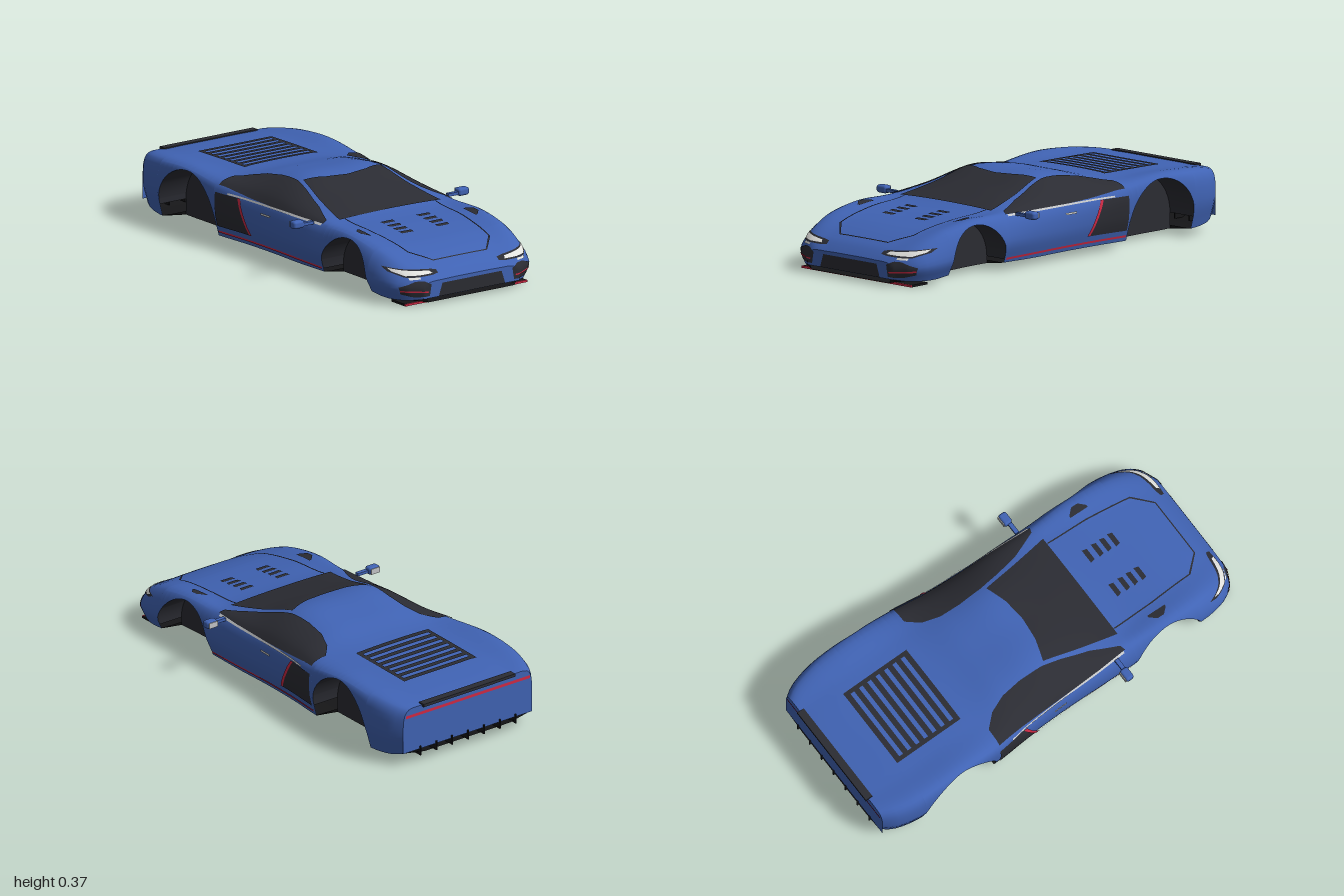
import * as THREE from 'three';
import { RoundedBoxGeometry } from 'three/addons/geometries/RoundedBoxGeometry.js';

const mat = (name, color) => new THREE.MeshStandardMaterial({ name, color, side: THREE.DoubleSide });

// Body stations: z, centre y, roof x/y, shoulder x/y, widest x/y, lower edge y
const STATIONS = [
  [1.0, .108, .14, .107, .24, .1, .268, .075, .03],
  [.975, .137, .16, .135, .275, .128, .325, .085, .026],
  [.93, .163, .18, .161, .32, .152, .372, .09, .024],
  [.85, .195, .2, .193, .345, .19, .40, .10, .024],
  [.75, .22, .22, .22, .36, .223, .41, .11, .035],
  [.58, .241, .24, .244, .365, .25, .405, .13, .04],
  [.4, .262, .265, .257, .36, .25, .402, .14, .04],
  [.2, .315, .235, .3, .37, .25, .398, .14, .035],
  [0, .364, .215, .353, .375, .252, .395, .14, .035],
  [-.2, .346, .225, .335, .385, .258, .402, .15, .035],
  [-.36, .316, .25, .306, .40, .276, .416, .16, .035],
  [-.6, .303, .25, .303, .407, .302, .425, .17, .035],
  [-.8, .298, .25, .298, .402, .294, .428, .17, .035],
  [-.93, .287, .24, .286, .375, .278, .40, .16, .045],
  [-.985, .279, .22, .278, .345, .268, .365, .16, .065],
];
const ARCHES = [{ z: .58, y: .055, r: .182 }, { z: -.585, y: .09, r: .204 }];
const WELL_X = .27;

// Smooth interpolation of every column along z
function station(z) {
  const S = STATIONS, n = S.length;
  let i = 0;
  while (i < n - 2 && z < S[i + 1][0]) i++;
  const a = S[i], b = S[i + 1], h = b[0] - a[0], t = (z - a[0]) / h;
  const slope = (k, c) => {
    const p = S[Math.max(k - 1, 0)], q = S[Math.min(k + 1, n - 1)];
    return (q[c] - p[c]) / (q[0] - p[0]);
  };
  return a.map((v, c) => {
    if (!c) return z;
    const t2 = t * t, t3 = t2 * t;
    return (2 * t3 - 3 * t2 + 1) * v + (t3 - 2 * t2 + t) * h * slope(i, c)
      + (3 * t2 - 2 * t3) * b[c] + (t3 - t2) * h * slope(i + 1, c);
  });
}

// Height of the wheel opening at z, or 0 outside it
function archHeight(z) {
  for (const a of ARCHES) {
    const d = Math.abs(z - a.z);
    if (d <= a.r) return a.y + Math.sqrt(a.r * a.r - d * d);
  }
  return 0;
}

// One cross-section, left lower edge over the top to right lower edge
function section(z) {
  const [, yc, x1, y1, xs, ys, xw, yw, yl] = station(z);
  const V = (x, y) => new THREE.Vector3(x, y, z);
  const curve = new THREE.CatmullRomCurve3(
    [V(-x1, y1), V(0, yc), V(x1, y1), V(xs, ys), V(xw, yw), V(xw * .93, yl)], false, 'centripetal');
  const cut = archHeight(z);
  let lo = .6, hi = 1;
  if (cut > yl) for (let k = 0; k < 24; k++) {
    const m = (lo + hi) / 2;
    if (curve.getPoint(m).y > cut) lo = m; else hi = m;
  }
  const half = [];
  for (let k = 0; k <= 14; k++) half.push(curve.getPoint(.2 + .4 * k / 14));
  for (let k = 1; k <= 10; k++) half.push(curve.getPoint(.6 + (hi - .6) * k / 10));
  half[0].x = 0;
  return [...half.slice(1).reverse().map(p => V(-p.x, p.y)), ...half];
}

// Surface through equal-length rows of points
function loft(rows) {
  const w = rows[0].length, index = [];
  for (let i = 0; i < rows.length - 1; i++) for (let j = 0; j < w - 1; j++) {
    const a = i * w + j, c = a + w;
    index.push(a, a + 1, c, a + 1, c + 1, c);
  }
  const g = new THREE.BufferGeometry().setFromPoints(rows.flat());
  g.setIndex(index);
  g.computeVertexNormals();
  return g;
}

function alongPolyline(pts, t) {
  const f = t * (pts.length - 1), i = Math.min(Math.floor(f), pts.length - 2), u = f - i;
  return [0, 1].map(k => pts[i][k] + (pts[i + 1][k] - pts[i][k]) * u);
}

export function createModel() {
  const car = new THREE.Group();
  car.name = 'sportsCarBody';
  const blue = mat('bluePaint', 0x4063b4), dark = mat('darkGlassAndTrim', 0x2b2c33);
  const black = mat('blackUnderside', 0x161618), red = mat('redAccent', 0xd02a45);
  const white = mat('whiteLamp', 0xe2e2de), silver = mat('silverTrim', 0xc4c6c8);
  const add = (name, geo, m, x = 0, y = 0, z = 0) => {
    const mesh = new THREE.Mesh(geo, m);
    mesh.name = name;
    mesh.position.set(x, y, z);
    car.add(mesh);
    return mesh;
  };

  // Body shell, with extra stations round the wheel openings
  const zs = [];
  for (let i = 0; i <= 60; i++) zs.push(1 - 1.985 * i / 60);
  for (const a of ARCHES) {
    for (let k = 0; k <= 24; k++) zs.push(a.z + (a.r - 1e-5) * Math.cos(Math.PI * k / 24));
    zs.push(a.z + a.r + 1e-4, a.z - a.r - 1e-4);
  }
  zs.sort((a, b) => b - a);
  const rows = zs.map(section);
  const shell = add('bodyShell', loft(rows), blue);
  const caps = [['nosePanel', rows[0]], ['tailPanel', rows[rows.length - 1]]].map(([name, row]) =>
    add(name, loft([row, row.map(p => new THREE.Vector3(p.x, row[0].y, p.z))]), blue));

  // Underside, narrowed between the wheel wells
  add('floor', loft(zs.map(z => {
    const s = station(z), x = archHeight(z) ? WELL_X : s[6] * .93;
    const yMid = Math.max(.012, s[8] - .02);
    return [[-x, s[8]], [-.24, yMid], [.24, yMid], [x, s[8]]].map(p => new THREE.Vector3(p[0], p[1], z));
  })), black);

  // Wheel wells: roof and inner wall
  for (const a of ARCHES) for (const side of [1, -1]) {
    const strip = zs.filter(z => Math.abs(z - a.z) <= a.r).map(z => {
      const row = section(z), edge = row[row.length - 1], h = archHeight(z);
      return [[edge.x, edge.y], [WELL_X, h], [WELL_X, h], [WELL_X, station(z)[8] - .015]]
        .map(p => new THREE.Vector3(side * p[0], p[1], z));
    });
    add('wheelWell', loft(strip), dark);
  }

  // Thin panel between two outlines, laid on the body along one direction
  const ray = new THREE.Raycaster();
  const place = {
    top: (p, d) => new THREE.Vector3(p[0], d, p[1]),
    left: (p, d) => new THREE.Vector3(d, p[1], p[0]),
    right: (p, d) => new THREE.Vector3(-d, p[1], p[0]),
    front: (p, d) => new THREE.Vector3(p[0], p[1], d),
    back: (p, d) => new THREE.Vector3(p[0], p[1], -d),
  };
  function panel(name, m, from, A, B, n = 12, w = 2, lift = .004) {
    let depth = from === 'top' ? .25 : from === 'left' || from === 'right' ? .39 : .97;
    const grid = [];
    for (let i = 0; i <= n; i++) {
      const a = alongPolyline(A, i / n), b = alongPolyline(B, i / n), row = [];
      for (let j = 0; j <= w; j++) {
        const p = [0, 1].map(k => a[k] + (b[k] - a[k]) * j / w);
        const start = place[from](p, 2);
        ray.set(start, place[from](p, 1).sub(start).normalize());
        const hit = ray.intersectObjects([shell, ...caps], false)[0];
        if (hit) depth = 2 - hit.distance;
        row.push(place[from](p, depth + lift));
      }
      grid.push(row);
    }
    add(name, loft(grid), m);
  }
  const flip = pts => pts.map(([x, v]) => [-x, v]);
  const pair = (name, m, from, A, B, ...rest) => {
    panel(name, m, from, A, B, ...rest);
    if (from === 'left') panel(name, m, 'right', A, B, ...rest);
    else panel(name, m, from, flip(A), flip(B), ...rest);
  };

  // Glass
  panel('windshield', dark, 'top', [[-.282, .385], [.282, .385]],
    [[-.215, .02], [-.11, .053], [0, .065], [.11, .053], [.215, .02]], 20, 14, .005);
  pair('sideWindow', dark, 'top',
    [[.335, .36], [.28, .23], [.248, .1], [.23, 0], [.226, -.12], [.235, -.22], [.265, -.3], [.32, -.36]],
    [[.36, .37], [.37, .22], [.374, .1], [.377, 0], [.381, -.12], [.386, -.22], [.394, -.3], [.402, -.36]], 28, 8, .005);
  pair('beltTrim', silver, 'left', [[.36, .254], [0, .254], [-.29, .255]], [[.36, .246], [0, .246], [-.29, .248]], 16, 1, .005);

  // Hood seam, hood vents and fender vents
  const seam = [[-.255, .39], [-.25, .6], [-.23, .83], [-.15, .915], [.15, .915], [.23, .83], [.25, .6], [.255, .39]];
  panel('hoodSeam', dark, 'top', seam, seam.map(([x, z]) => [x * .975, z - .006]), 35, 1);
  for (const z of [.505, .555, .6, .645])
    pair('hoodVent', dark, 'top', [[.065, z - .012], [.136, z - .012]], [[.07, z + .012], [.13, z + .012]], 3, 1);
  pair('fenderVent', dark, 'top', [[.29, .545], [.29, .64]], [[.3, .545], [.328, .575], [.328, .61], [.3, .64]], 6, 2);

  // Rear deck louvres
  for (let i = 0; i < 8; i++) {
    const z = -.433 - i * .0465;
    panel('rearLouvre', dark, 'top', [[-.2, z], [.2, z]], [[-.2, z - .026], [.2, z - .026]], 10, 1, .006);
  }
  pair('louvreFrame', dark, 'top', [[.185, -.433], [.185, -.785]], [[.205, -.433], [.205, -.785]], 10, 1, .005);

  // Front lights, grille and corner intakes
  pair('headlightSurround', dark, 'front', [[.38, .168], [.33, .162], [.2, .151], [.17, .147]],
    [[.375, .15], [.33, .128], [.2, .13], [.17, .134]], 14, 3, .003);
  pair('headlight', white, 'front', [[.37, .164], [.33, .158], [.21, .147]], [[.365, .152], [.33, .136], [.2, .137]], 14, 3, .006);
  pair('lowerLamp', white, 'front', [[.32, .129], [.27, .129]], [[.32, .12], [.27, .12]], 4, 1, .005);
  panel('grille', dark, 'front', [[-.165, .092], [.165, .092]], [[-.185, .032], [.185, .032]], 12, 4);
  pair('cornerIntake', dark, 'front', [[.225, .095], [.26, .112], [.3, .112], [.365, .088]],
    [[.235, .042], [.28, .04], [.31, .042], [.355, .055]], 14, 5);
  pair('intakeAccent', red, 'front', [[.24, .065], [.31, .071], [.36, .074]], [[.245, .059], [.31, .063], [.36, .067]], 10, 1, .007);

  // Side intake, door handle and accents
  pair('sideIntake', dark, 'left', [[-.13, .088], [-.215, .246]], [[-.368, .085], [-.368, .246]], 10, 6);
  pair('slashAccent', red, 'left', [[-.125, .09], [-.205, .246]], [[-.142, .09], [-.222, .246]], 8, 1, .007);
  pair('sillAccent', red, 'left', [[.39, .063], [-.37, .063]], [[.39, .053], [-.37, .053]], 16, 1);
  pair('doorHandle', silver, 'left', [[.02, .216], [-.05, .216]], [[.015, .207], [-.05, .207]], 3, 1, .007);

  // Tail light bar, spoiler and diffuser fins
  panel('tailLight', red, 'back', [[-.352, .25], [.352, .25]], [[-.352, .236], [.352, .236]], 20, 1);
  add('spoiler', new THREE.BoxGeometry(.52, .014, .036), dark, 0, .28, -.982);
  for (let i = -3; i <= 3; i++)
    add('diffuserFin', new THREE.BoxGeometry(.006, .045, .08), black, i * .09, .057, -.952);

  // Front splitter
  add('splitter', new THREE.BoxGeometry(.68, .01, .1), black, 0, .005, .905);
  add('splitterEdge', new THREE.BoxGeometry(.68, .01, .006), red, 0, .005, .958);

  // Door mirrors
  for (const s of [1, -1]) {
    add('mirrorHousing', new RoundedBoxGeometry(.06, .036, .042, 3, .012), blue, s * .46, .255, .305);
    add('mirrorStalk', new THREE.BoxGeometry(.07, .014, .02), blue, s * .41, .252, .31);
    add('mirrorGlass', new THREE.BoxGeometry(.048, .026, .004), silver, s * .46, .255, .283);
  }
  return car;
}
